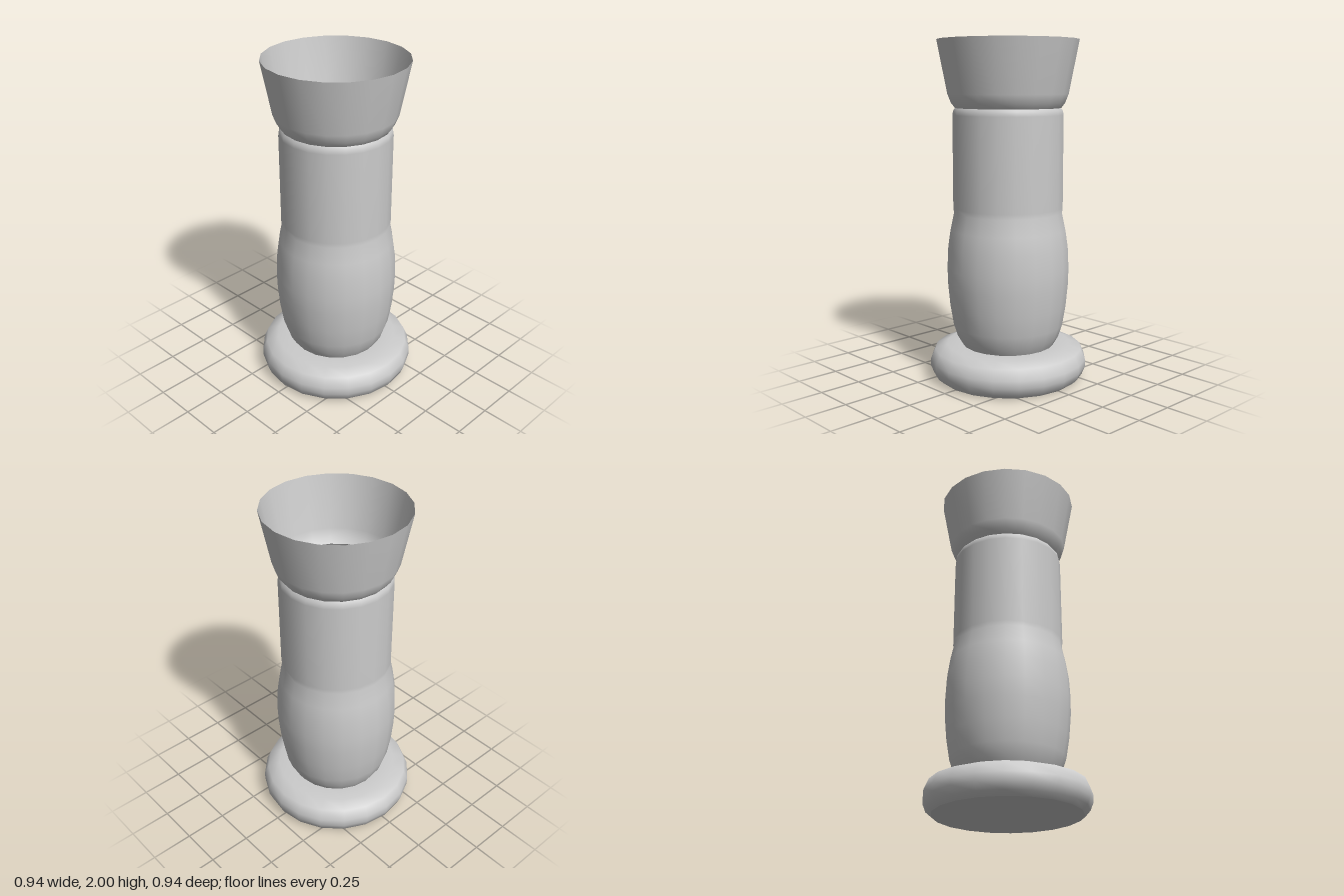
import * as THREE from 'three';

const SIDES = 20;
const material = new THREE.MeshStandardMaterial({ color: 0xcccccc, side: THREE.DoubleSide });

// Turns a [radius, height] profile, listed bottom to top, around the y axis
function turned(name, profile) {
  const points = profile.map(([r, y]) => new THREE.Vector2(r, y));
  const mesh = new THREE.Mesh(new THREE.LatheGeometry(points, SIDES), material);
  mesh.name = name;
  return mesh;
}

export function createModel() {
  const model = new THREE.Group();
  model.name = 'flaredVase';

  // Rounded foot, with its flat underside and floor as separate sharp-edged discs
  const foot = new THREE.Group();
  foot.name = 'foot';
  foot.add(
    turned('footUnderside', [[0, 0], [0.42, 0]]),
    turned('footRim', [
      [0.42, 0], [0.45, 0.025], [0.468, 0.07], [0.468, 0.115],
      [0.442, 0.175], [0.37, 0.2], [0.276, 0.2],
    ]),
    turned('floor', [[0.276, 0.2], [0, 0.2]]),
  );
  model.add(foot);

  // Hollow thin-walled body: bulging belly, straight neck, small shoulder bevel
  model.add(turned('body', [
    [0.276, 0.2], [0.305, 0.25], [0.328, 0.32], [0.348, 0.44], [0.36, 0.57],
    [0.363, 0.67], [0.357, 0.8], [0.342, 0.9], [0.321, 1.0],
    [0.325, 1.03], [0.325, 1.57], [0.321, 1.595], [0.31, 1.61],
  ]));

  // Open flared cup
  model.add(turned('cup', [[0.31, 1.61], [0.333, 1.64], [0.353, 1.69], [0.413, 2]]));

  return model;
}
